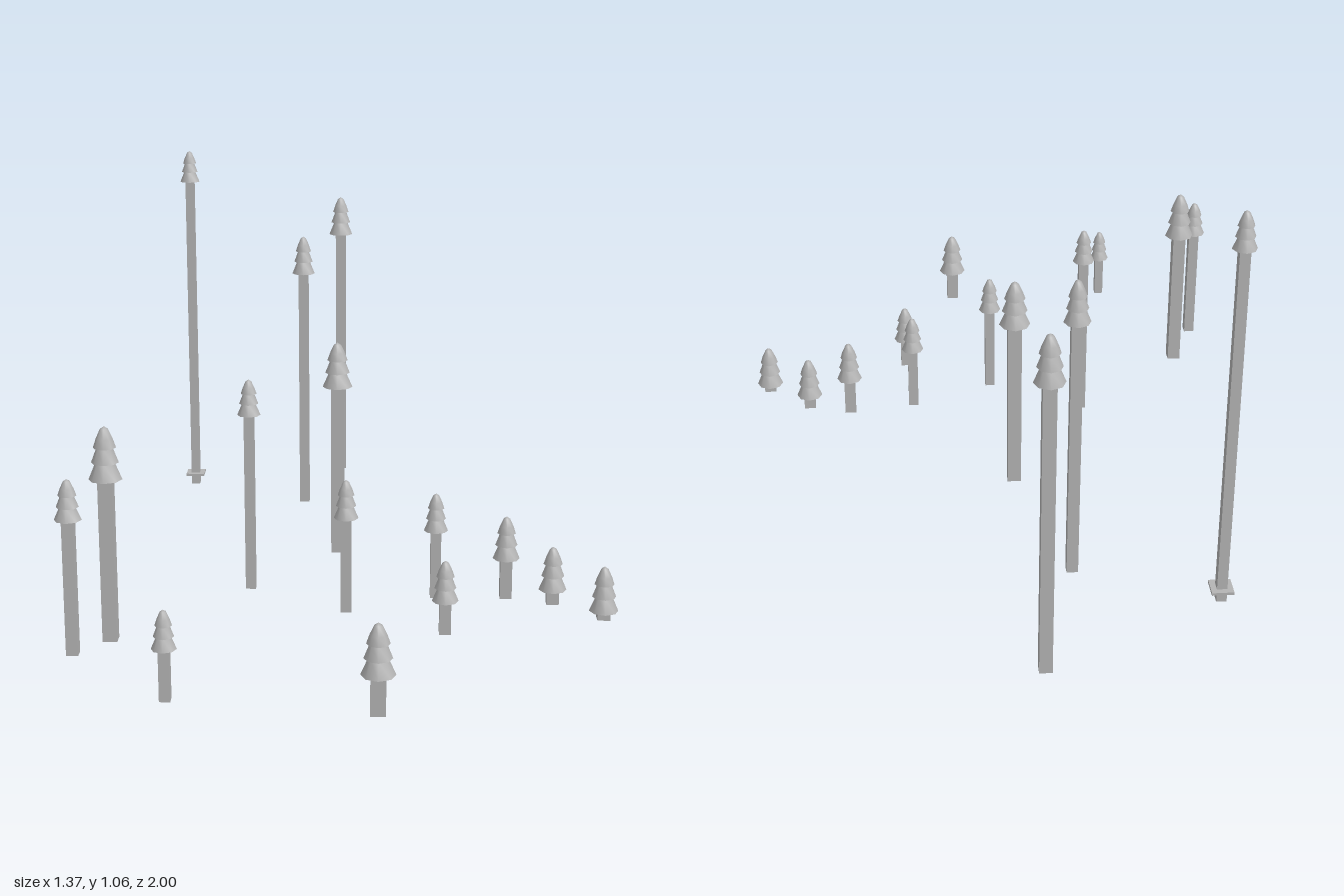
import * as THREE from 'three';
import { toCreasedNormals } from 'three/addons/utils/BufferGeometryUtils.js';

// x, z, trunk foot, foliage bottom, foliage top, foliage radius
const TREES = [
  [-0.65, 0.65, 0.018, 0.353, 0.452, 0.033],
  [-0.58, 0.514, 0, 0.411, 0.543, 0.041],
  [-0.494, -0.742, 0.022, 0.97, 1.062, 0.029],
  [-0.398, 0.924, 0.022, 0.144, 0.236, 0.029],
  [-0.256, 0.199, 0.022, 0.49, 0.583, 0.03],
  [-0.146, -0.586, 0.015, 0.718, 0.828, 0.033],
  [-0.043, -0.964, 0.011, 0.777, 0.894, 0.036],
  [-0.036, -0.144, 0.006, 0.481, 0.605, 0.041],
  [-0.004, 0.356, 0.018, 0.265, 0.364, 0.031],
  [0.225, 0.253, 0.02, 0.199, 0.298, 0.031],
  [0.241, 0.499, 0.016, 0.1, 0.203, 0.033],
  [0.408, 0.237, 0.013, 0.119, 0.232, 0.035],
  [0.526, 0.274, 0.011, 0.048, 0.163, 0.036],
  [0.645, 0.38, 0.01, 0.031, 0.148, 0.037],
  [0.077, 0.956, 0.007, 0.099, 0.221, 0.04],
];

export function createModel() {
  const grey = new THREE.MeshStandardMaterial({ color: 0xb4b4b4 });
  grey.name = 'grey';
  const model = new THREE.Group();
  model.name = 'treeGrove';

  // Three stacked skirts with a blunt tip, unit radius and unit height
  const profile = [
    [0, 0], [1, 0], [0.57, 0.32],
    [0.82, 0.32], [0.48, 0.6],
    [0.68, 0.6], [0.5, 0.77], [0.24, 0.95], [0, 1],
  ].map(([r, y]) => new THREE.Vector2(r, y));
  const foliageShape = toCreasedNormals(new THREE.LatheGeometry(profile, 8), 0.9);
  const trunkShape = new THREE.BoxGeometry(1, 1, 1);

  const add = (parent, name, geometry, y, sx, sy, sz) => {
    const mesh = new THREE.Mesh(geometry, grey);
    mesh.name = name;
    mesh.position.y = y;
    mesh.scale.set(sx, sy, sz);
    parent.add(mesh);
  };

  TREES.forEach(([x, z, foot, low, top, r], i) => {
    const tree = new THREE.Group();
    tree.name = `tree${i + 1}`;
    tree.position.set(x, 0, z);
    const width = r * 0.88;
    add(tree, 'trunk', trunkShape, (foot + low) / 2 + 0.002, width, low - foot + 0.004, width);
    add(tree, 'foliage', foliageShape, low, r, top - low, r);
    // Thin square collar near the foot of the tallest tree
    if (i === 2) add(tree, 'collar', trunkShape, 0.055, 0.055, 0.007, 0.055);
    model.add(tree);
  });
  return model;
}
